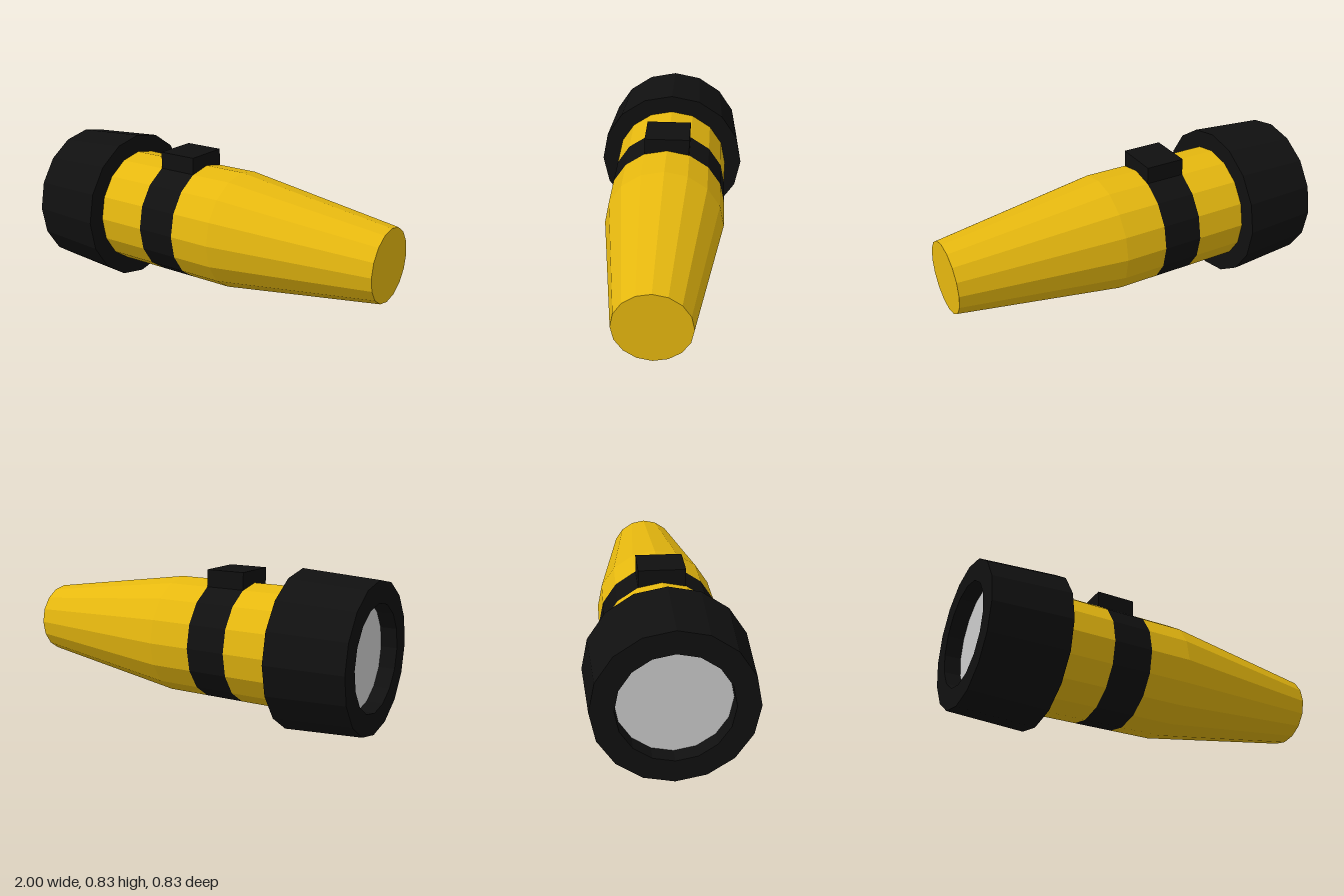
import * as THREE from 'three';

const AXIS_Y = 0.415;
const SIDES = 16;

const material = (color) => new THREE.MeshStandardMaterial({ color, flatShading: true });

export function createModel() {
  const model = new THREE.Group();
  model.name = 'flashlight';
  const yellow = material(0xe6b80f);
  const black = material(0x101010);
  const grey = material(0xcccccc);

  // Faceted ring or solid around the x axis, from [x, radius] points
  const turned = (name, profile, mat) => {
    const points = profile.map(([x, r]) => new THREE.Vector2(r, x));
    const geometry = new THREE.LatheGeometry(points, SIDES);
    geometry.rotateZ(-Math.PI / 2);
    const mesh = new THREE.Mesh(geometry, mat);
    mesh.name = name;
    mesh.position.y = AXIS_Y;
    model.add(mesh);
  };

  // Flared head with a recessed opening, and the lens inside it
  turned('head', [[-0.915, 0.275], [-1, 0.275], [-1, 0.388], [-0.59, 0.415], [-0.59, 0.318]], black);
  turned('lens', [[-0.915, 0], [-0.915, 0.275]], grey);

  // Barrel, flush grip band, and tapering handle closed at its end
  turned('barrel', [[-0.59, 0.318], [-0.315, 0.318]], yellow);
  turned('band', [[-0.315, 0.318], [-0.1, 0.318]], black);
  turned('handle', [[-0.1, 0.318], [0.13, 0.318], [1, 0.192], [1, 0]], yellow);

  // Switch block standing on the band
  const button = new THREE.Mesh(new THREE.BoxGeometry(0.215, 0.12, 0.24), black);
  button.name = 'switchButton';
  button.position.set(-0.2075, 0.74, 0);
  model.add(button);

  return model;
}
